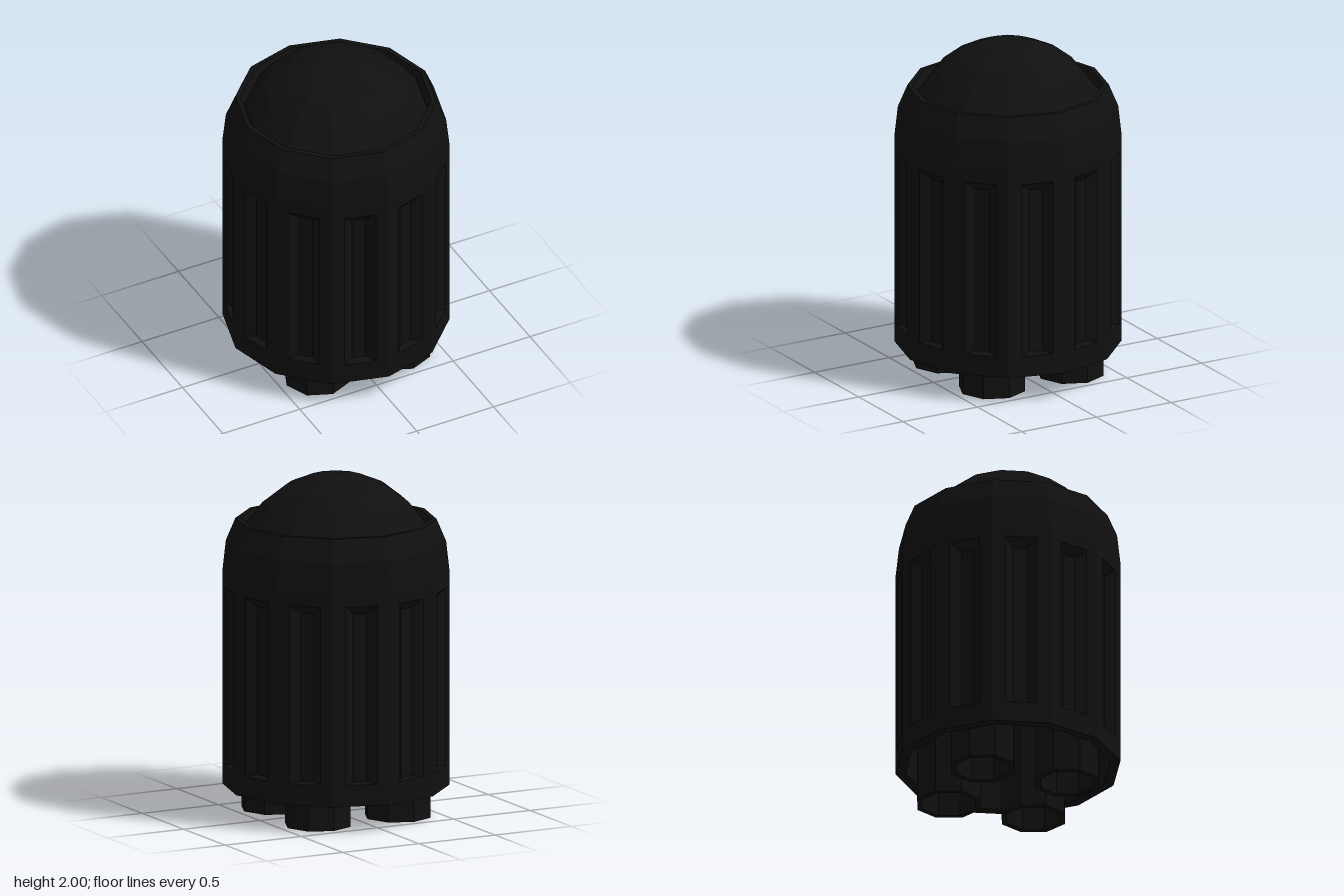
import * as THREE from 'three';

const SIDES = 12, RADIUS = 0.655;
const material = new THREE.MeshStandardMaterial({ color: 0x101010, flatShading: true });

function add(parent, name, geometry) {
  const mesh = new THREE.Mesh(geometry, material);
  mesh.name = name;
  parent.add(mesh);
  return mesh;
}

function lathe(points, sides) {
  return new THREE.LatheGeometry(points.map(([r, y]) => new THREE.Vector2(r, y)), sides);
}

// One flat side of the body with a tapered vertical slot pressed into it
function slottedPanel() {
  const face = RADIUS * Math.cos(Math.PI / SIDES);
  const ring = (halfWidth, bottom, top, z) => [
    [-halfWidth, bottom, z], [halfWidth, bottom, z], [halfWidth, top, z], [-halfWidth, top, z],
  ];
  const rings = [
    ring(RADIUS * Math.sin(Math.PI / SIDES), 0.165, 1.42, face),
    ring(0.093, 0.29, 1.34, face),
    ring(0.04, 0.3, 1.29, face - 0.045),
  ];
  const index = [];
  for (let k = 0; k < 2; k++) {
    for (let i = 0; i < 4; i++) {
      const a = k * 4 + i, b = k * 4 + (i + 1) % 4;
      index.push(a, b, b + 4, a, b + 4, a + 4);
    }
  }
  index.push(8, 9, 10, 8, 10, 11); // slot floor
  const geometry = new THREE.BufferGeometry();
  geometry.setAttribute('position', new THREE.Float32BufferAttribute(rings.flat(2), 3));
  geometry.setIndex(index);
  geometry.computeVertexNormals();
  return geometry;
}

export function createModel() {
  const model = new THREE.Group();
  model.name = 'canister';

  // Body sides
  const body = new THREE.Group();
  body.name = 'body';
  model.add(body);
  const panel = slottedPanel();
  for (let i = 0; i < SIDES; i++) {
    add(body, 'slottedPanel', panel).rotation.y = (i + 0.5) * 2 * Math.PI / SIDES;
  }

  // Shoulder with a narrow rim and groove around the dome
  add(body, 'shoulder', lathe([
    [RADIUS, 1.42], [0.635, 1.6], [0.58, 1.73], [0.55, 1.73], [0.53, 1.67], [0.45, 1.66],
  ], SIDES));

  // Hollow underside
  add(body, 'underside', lathe([[0, 0.85], [0.595, 0.85], [0.595, 0.165], [RADIUS, 0.165]], SIDES));

  // Dome
  const dome = new THREE.SphereGeometry(0.6, SIDES, 5, 0, 2 * Math.PI, 0, Math.PI * 5 / 12);
  add(model, 'dome', dome).position.y = 1.4;

  // Four open tubes below
  const tube = lathe([[0.165, 0.85], [0.165, 0], [0.197, 0], [0.197, 0.85]], 8);
  for (const x of [-0.262, 0.262]) {
    for (const z of [-0.262, 0.262]) add(model, 'nozzle', tube).position.set(x, 0, z);
  }
  return model;
}
